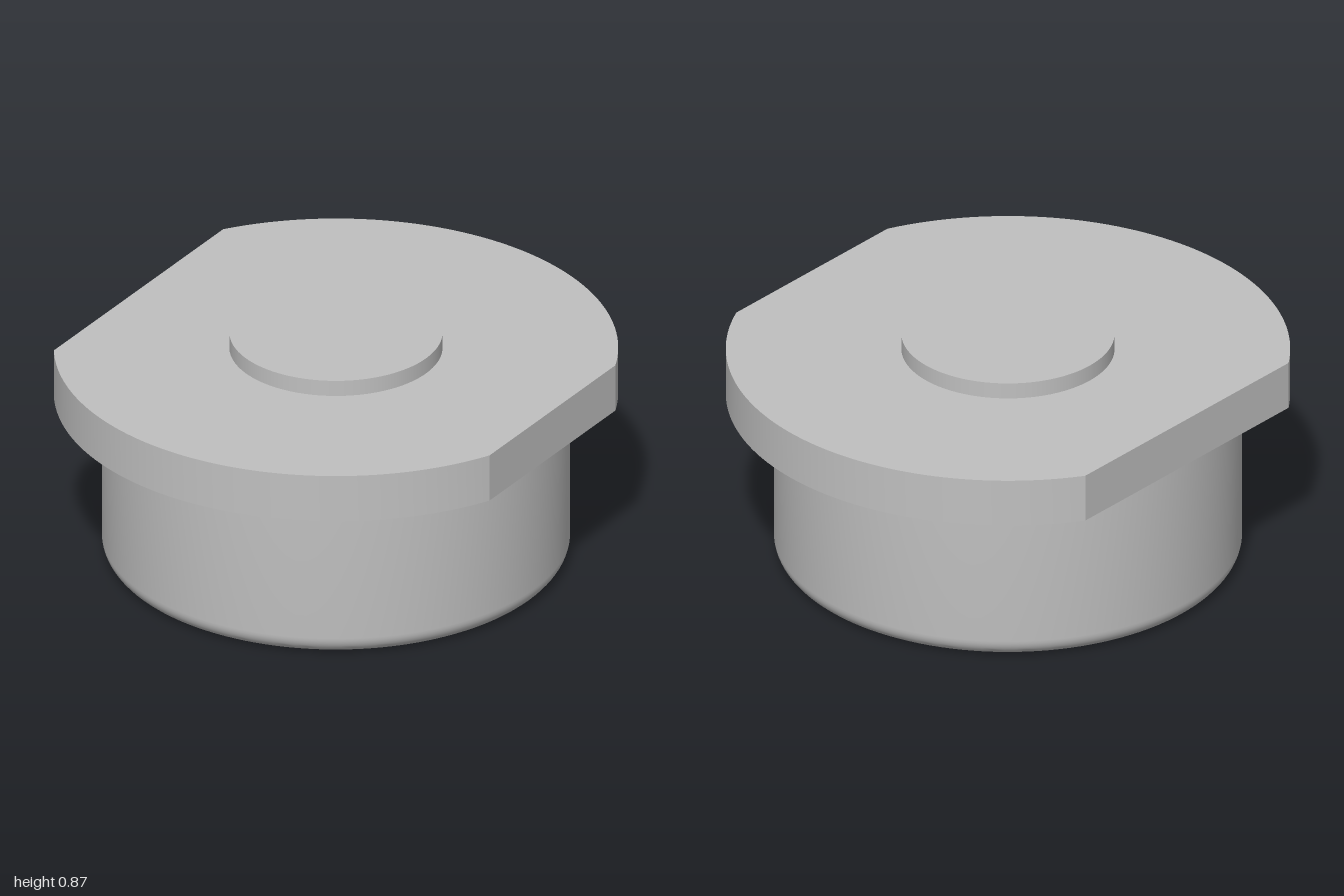
import * as THREE from 'three';
import { toCreasedNormals } from 'three/addons/utils/BufferGeometryUtils.js';

const AXIS_X = -0.04;
const BODY_R = 0.83, FILLET = 0.07, FLANGE_Y = 0.625, FLANGE_TOP = 0.805;
const RECESS_DEPTH = 0.077;

export function createModel() {
  const group = new THREE.Group();
  const grey = new THREE.MeshStandardMaterial({ color: 0xc0c0c0 });
  grey.name = 'plainGrey';

  const add = (name, geometry, y = 0) => {
    const mesh = new THREE.Mesh(geometry, grey);
    mesh.name = name;
    mesh.position.set(AXIS_X, y, 0);
    group.add(mesh);
  };

  // Body wall with rounded lower edge
  const profile = [];
  for (let i = 0; i <= 10; i++) {
    const a = (i / 10) * Math.PI / 2;
    profile.push(new THREE.Vector2(
      BODY_R - FILLET + FILLET * Math.sin(a), FILLET - FILLET * Math.cos(a)));
  }
  profile.push(new THREE.Vector2(BODY_R, FLANGE_Y));
  add('bodyWall', toCreasedNormals(new THREE.LatheGeometry(profile, 128), 0.5));

  // Underside plate with a triangular recess
  const corners = [0, 1, 2].map((i) => {
    const a = THREE.MathUtils.degToRad(185 + i * 120);
    return new THREE.Vector2(0.42 * Math.cos(a) + 0.01, 0.42 * Math.sin(a));
  });
  const plate = new THREE.Shape().absarc(0, 0, BODY_R - FILLET, 0, Math.PI * 2);
  plate.holes.push(new THREE.Path(corners));
  const plateGeometry = new THREE.ExtrudeGeometry(plate, {
    depth: RECESS_DEPTH, bevelEnabled: false, curveSegments: 128 });
  add('undersidePlate', plateGeometry.rotateX(Math.PI / 2), RECESS_DEPTH);
  add('recessFloor',
    new THREE.ShapeGeometry(new THREE.Shape(corners)).rotateX(Math.PI / 2), RECESS_DEPTH);

  // Round flange cut by two unequal flats
  const right = Math.acos(0.91), left = Math.acos(-0.83);
  const outline = new THREE.Shape();
  outline.absarc(0, 0, 1, right, left);
  outline.absarc(0, 0, 1, 2 * Math.PI - left, 2 * Math.PI - right);
  outline.closePath();
  const flange = new THREE.ExtrudeGeometry(outline, {
    depth: FLANGE_TOP - FLANGE_Y, bevelEnabled: false, curveSegments: 64 });
  add('flange', toCreasedNormals(flange.rotateX(-Math.PI / 2), 0.4), FLANGE_Y);

  // Raised disc on top
  add('topDisc', new THREE.CylinderGeometry(0.378, 0.378, 0.06, 96), FLANGE_TOP + 0.03);

  return group;
}
